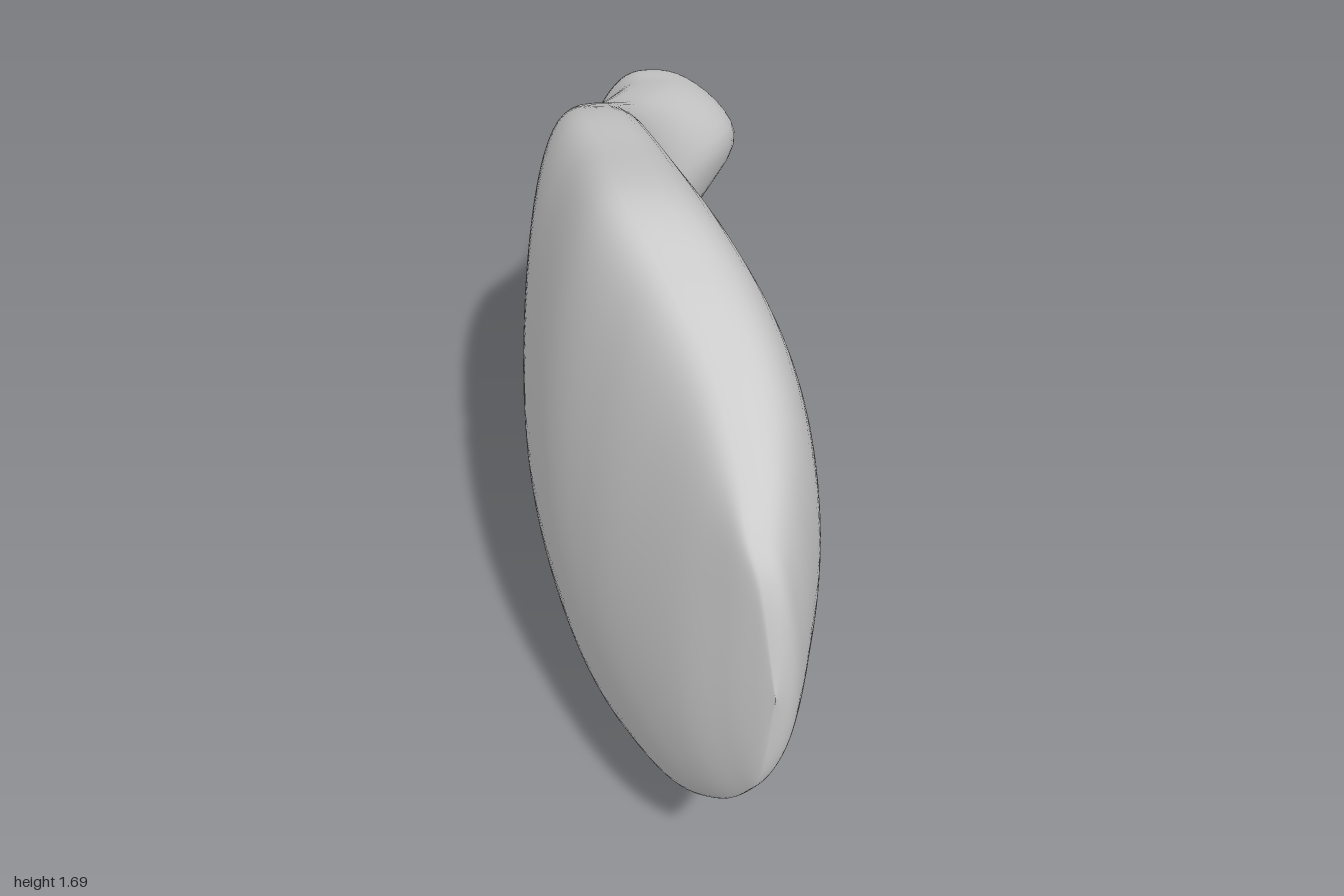
import * as THREE from 'three';

// Stations along the diagonal axis u (model left-front end to right-back end):
// [u, top height, top depth, bottom height, bottom depth, front depth, back depth]
const stations = [
  [-1.325, 1.0, 0.085, 1.0, 0.085, 0.085, 0.085],
  [-1.29, 1.25, 0.06, 0.75, 0.065, 0.13, 0.045],
  [-1.23, 1.36, 0.04, 0.63, 0.04, 0.155, -0.012],
  [-1.12, 1.45, 0.04, 0.49, 0.0, 0.185, -0.095],
  [-0.95, 1.56, 0.01, 0.34, -0.06, 0.22, -0.18],
  [-0.75, 1.65, -0.06, 0.225, -0.11, 0.225, -0.265],
  [-0.5, 1.69, -0.13, 0.1, -0.145, 0.175, -0.345],
  [-0.14, 1.59, -0.15, 0.015, -0.175, 0.085, -0.385],
  [0.13, 1.5, -0.18, 0.0, -0.18, 0.05, -0.38],
  [0.39, 1.36, -0.18, 0.025, -0.17, 0.05, -0.35],
  [0.6, 1.235, -0.11, 0.075, -0.18, 0.055, -0.31],
  [0.86, 1.13, -0.01, 0.175, -0.195, 0.04, -0.265],
  [1.02, 1.07, 0.0, 0.26, -0.19, 0.02, -0.24],
  [1.19, 0.93, -0.02, 0.38, -0.14, -0.01, -0.19],
  [1.285, 0.75, -0.045, 0.46, -0.1, -0.025, -0.14],
  [1.32, 0.56, -0.085, 0.56, -0.085, -0.085, -0.085],
];

const spline = (a, b) => new THREE.CatmullRomCurve3(
  stations.map((s) => new THREE.Vector3(s[0], s[a], s[b])), false, 'catmullrom', 0.5);

export function createModel() {
  const group = new THREE.Group();
  const topRim = spline(1, 2), bottomRim = spline(3, 4), faces = spline(5, 6);
  const rings = 120, sides = 72;
  const positions = [], index = [];

  // Lens-shaped cross-sections lofted along the axis
  for (let i = 0; i <= rings; i++) {
    const t = i / rings;
    const top = topRim.getPoint(t), bottom = bottomRim.getPoint(t), face = faces.getPoint(t);
    const u = top.x;
    for (let j = 0; j < sides; j++) {
      const angle = (j / sides) * Math.PI * 2;
      const c = Math.cos(angle), s = Math.sin(angle);
      const v = (c + 1) / 2;
      const y = THREE.MathUtils.lerp(bottom.y, top.y, v);
      const middle = (top.z + bottom.z) / 2;
      const reach = s > 0 ? face.y - middle : middle - face.z;
      // Full and round towards the top, tapering to a thinner lower edge
      let n = THREE.MathUtils.lerp(bottom.z, top.z, v)
        + Math.sign(s) * Math.pow(Math.abs(s), 1.03 - 0.33 * c) * reach;
      // Raised lobe on the front, near the upper right corner, its foot leaning to the right
      if (s > 0) {
        const drop = Math.max(0, 1 - y);
        const du = (u - 0.85 - 0.5 * drop) / 0.17;
        const dy = (y - 1) / (y > 1 ? 0.15 : 0.18);
        n += 0.205 * s * Math.exp(-0.5 * (du * du + dy * dy));
      }
      positions.push((u + n) * Math.SQRT1_2, y, (n - u) * Math.SQRT1_2);
      if (i < rings) {
        const a = i * sides + j, b = i * sides + (j + 1) % sides;
        index.push(a, b, a + sides, b, b + sides, a + sides);
      }
    }
  }

  const geometry = new THREE.BufferGeometry();
  geometry.setAttribute('position', new THREE.Float32BufferAttribute(positions, 3));
  geometry.setIndex(index);
  geometry.computeVertexNormals();

  const shell = new THREE.Mesh(geometry, new THREE.MeshStandardMaterial({ color: 0xcccccc }));
  shell.name = 'curvedBody';
  group.add(shell);
  return group;
}
